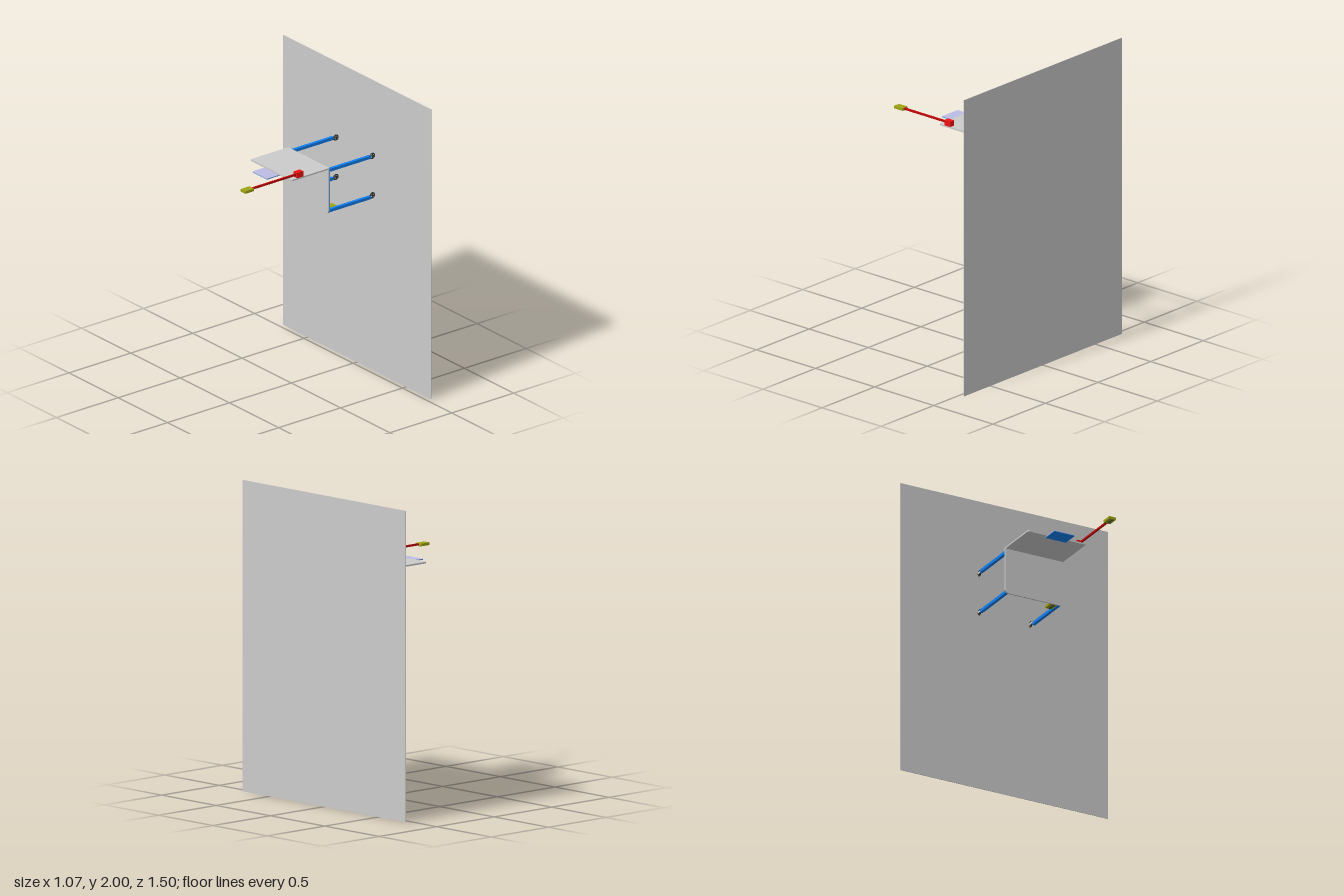
import * as THREE from 'three';

const mat = (color) => new THREE.MeshStandardMaterial({ color });

export function createModel() {
  const model = new THREE.Group();
  const grey = mat(0xcccccc), blue = mat(0x1080f0), red = mat(0xf01010), darkRed = mat(0xc00808);
  const olive = mat(0xa0a414), black = mat(0x303030), lavender = mat(0xbcbce6);

  const add = (name, geometry, material, parent = model) => {
    const mesh = new THREE.Mesh(geometry, material);
    mesh.name = name;
    parent.add(mesh);
    return mesh;
  };
  // Box given by its lower and upper corners
  const box = (name, material, [x0, y0, z0], [x1, y1, z1], parent) => {
    const mesh = add(name, new THREE.BoxGeometry(x1 - x0, y1 - y0, z1 - z0), material, parent);
    mesh.position.set((x0 + x1) / 2, (y0 + y1) / 2, (z0 + z1) / 2);
    return mesh;
  };
  // Flat sheet whose two far corners are rounded, extruded through its thickness
  const sheet = (width, length, radius, depth) => {
    const w = width / 2, s = new THREE.Shape();
    s.moveTo(-w, 0);
    s.lineTo(w, 0);
    s.lineTo(w, length - radius);
    s.absarc(w - radius, length - radius, radius, 0, Math.PI / 2);
    s.lineTo(-w + radius, length);
    s.absarc(-w + radius, length - radius, radius, Math.PI / 2, Math.PI);
    s.closePath();
    return new THREE.ExtrudeGeometry(s, { depth, bevelEnabled: false, curveSegments: 6 });
  };
  const axes = (x, y, z) => new THREE.Matrix4().makeBasis(
    new THREE.Vector3(...x), new THREE.Vector3(...y), new THREE.Vector3(...z));

  // Wall panel
  box('wallPanel', grey, [0.531, 0, -0.75], [0.535, 2, 0.75]);

  // Angled shelf: flat top and hanging side
  const top = add('shelfTop', sheet(0.418, 0.305, 0.01, 0.01)
    .applyMatrix4(axes([0, 0, 1], [-1, 0, 0], [0, -1, 0])), grey);
  top.position.set(0.145, 1.515, -0.003);
  const side = add('shelfSide', sheet(0.418, 0.308, 0.025, 0.009)
    .applyMatrix4(axes([0, 0, 1], [0, -1, 0], [1, 0, 0])), grey);
  side.position.set(0.135, 1.505, -0.003);

  // Small tray in front of the shelf, in two layers
  box('trayTop', lavender, [-0.255, 1.5, -0.075], [-0.14, 1.504, 0.072]);
  box('trayBase', blue, [-0.255, 1.497, -0.075], [-0.14, 1.5, 0.072]);

  // Blue mounting plate
  box('mountingPlate', blue, [0.144, 1.203, -0.2], [0.156, 1.503, 0.198]);

  // Four arms, each ending in a spoked wheel on a thin bracket
  for (const y of [1.214, 1.493]) {
    for (const z of [-0.191, 0.188]) {
      const arm = new THREE.Group();
      arm.name = 'wheeledArm';
      model.add(arm);
      box('arm', blue, [0.15, y - 0.01, z - 0.01], [0.487, y + 0.01, z + 0.01], arm);
      const wz = z < 0 ? -0.189 : 0.181, wy = y + (y > 1.3 ? -0.003 : 0.004);
      box('wheelBracket', grey, [0.48, wy - 0.006, wz - 0.009], [0.516, wy + 0.006, wz - 0.005], arm);
      const wheel = new THREE.Group();
      wheel.name = 'wheel';
      wheel.position.set(0.511, wy, wz);
      arm.add(wheel);
      add('tyre', new THREE.TorusGeometry(0.017, 0.004, 8, 28), black, wheel);
      for (const turn of [0, Math.PI / 2]) {
        add('spoke', new THREE.BoxGeometry(0.034, 0.004, 0.004), black, wheel).rotation.z = turn;
      }
      add('hub', new THREE.CylinderGeometry(0.005, 0.005, 0.014, 12), black, wheel).rotation.x = Math.PI / 2;
    }
  }

  // Red clamp and rod
  box('clamp', red, [-0.116, 1.515, 0.17], [-0.067, 1.551, 0.206]);
  box('rod', darkRed, [-0.48, 1.529, 0.184], [-0.11, 1.541, 0.196]);

  // Two small units with a row of studs below
  for (const [x, y, z] of [[-0.503, 1.525, 0.187], [0.194, 1.206, 0.152]]) {
    const unit = new THREE.Group();
    unit.name = 'sensorUnit';
    unit.position.set(x, y, z);
    model.add(unit);
    box('unitBody', olive, [-0.036, 0, -0.024], [0.036, 0.017, 0.024], unit);
    for (const dx of [-0.022, 0, 0.022]) {
      add('stud', new THREE.CylinderGeometry(0.007, 0.007, 0.006, 12), black, unit).position.set(dx, -0.002, 0);
    }
  }
  return model;
}
